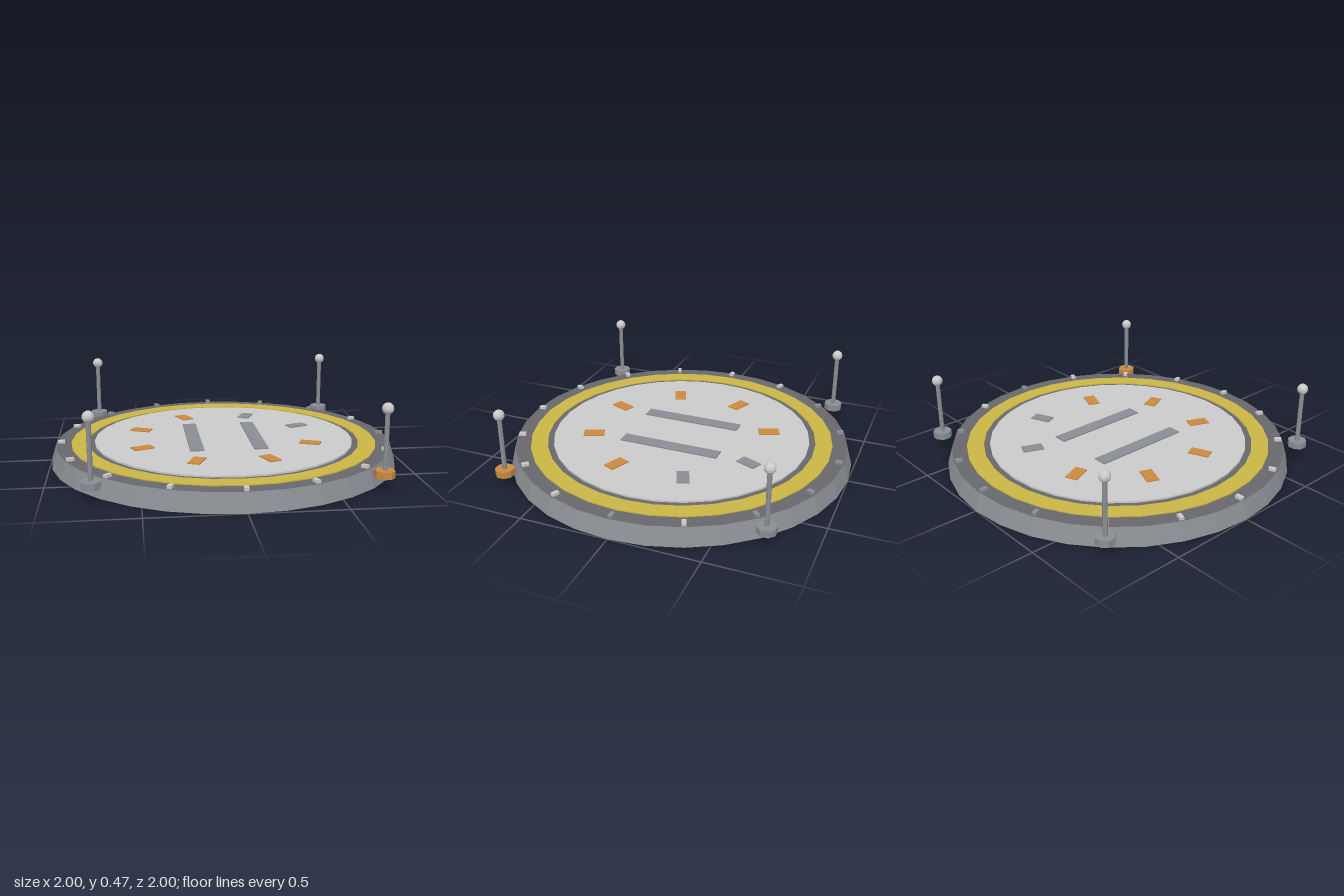
import * as THREE from 'three';

const SEG = 32;

function mat(name, color, flat = true) {
  const m = new THREE.MeshStandardMaterial({ color });
  m.name = name;
  m.flatShading = flat;
  return m;
}

export function createModel() {
  const steel = mat('steel grey', 0x8a8e93);
  const asphalt = mat('dark grey', 0x67676c);
  const concrete = mat('pale grey', 0xcacaca);
  const yellow = mat('yellow', 0xc9b545);
  const orange = mat('orange', 0xca8a40);

  const model = new THREE.Group();
  model.name = 'landingPad';

  const add = (parent, name, geometry, material, x = 0, y = 0, z = 0) => {
    const mesh = new THREE.Mesh(geometry, material);
    mesh.name = name;
    mesh.position.set(x, y, z);
    parent.add(mesh);
    return mesh;
  };

  // Tapered slab: steel side, dark top and bottom
  add(model, 'slab', new THREE.CylinderGeometry(0.97, 1, 0.1, SEG), [steel, asphalt, asphalt], 0, 0.05, 0);

  // Raised yellow ring with a faceted edge
  const ring = new THREE.Shape();
  const hole = new THREE.Path();
  for (let i = 0; i < SEG; i++) {
    const a = (i / SEG) * Math.PI * 2;
    const c = Math.cos(a), s = Math.sin(a);
    if (i) {
      ring.lineTo(c * 0.885, s * 0.885);
      hole.lineTo(c * 0.787, s * 0.787);
    } else {
      ring.moveTo(0.885, 0);
      hole.moveTo(0.787, 0);
    }
  }
  ring.closePath();
  hole.closePath();
  ring.holes.push(hole);
  const ringGeo = new THREE.ExtrudeGeometry(ring, { depth: 0.006, bevelEnabled: false });
  ringGeo.rotateX(-Math.PI / 2);
  add(model, 'yellowRing', ringGeo, yellow, 0, 0.1, 0);

  // Central deck
  add(model, 'deck', new THREE.CylinderGeometry(0.752, 0.752, 0.01, SEG), concrete, 0, 0.105, 0);

  // Pair of parallel touchdown bars
  for (const side of [-1, 1]) {
    add(model, 'touchdownBar', new THREE.BoxGeometry(0.08, 0.007, 0.59), steel, side * 0.18, 0.1135, 0);
  }

  // Eight radial dashes; the two at the back left are grey
  const dashGeo = new THREE.BoxGeometry(0.12, 0.006, 0.07);
  for (let i = 0; i < 8; i++) {
    const a = ((i + 0.5) / 8) * Math.PI * 2;
    const x = Math.cos(a) * 0.518, z = Math.sin(a) * 0.518;
    const dash = add(model, 'radialDash', dashGeo, x > 0 && z < 0 ? steel : orange, x, 0.113, z);
    dash.rotation.y = -a;
  }

  // Sixteen edge lamps around the rim
  const lampGeo = new THREE.BoxGeometry(0.04, 0.018, 0.024);
  for (let i = 0; i < 16; i++) {
    const a = (i / 16) * Math.PI * 2;
    const backLamp = (i >= 10 && i <= 14) || i === 0;
    const lamp = add(model, 'edgeLamp', lampGeo, backLamp ? steel : concrete,
      Math.cos(a) * 0.942, 0.108, Math.sin(a) * 0.942);
    lamp.rotation.y = -a;
  }

  // Four corner beacons: octagonal foot, stub, pole and globe
  const footGeo = new THREE.CylinderGeometry(0.054, 0.054, 0.038, 8);
  footGeo.rotateY(Math.PI / 8);
  const stubGeo = new THREE.CylinderGeometry(0.016, 0.016, 0.016, 8);
  const poleGeo = new THREE.CylinderGeometry(0.013, 0.013, 0.31, 8);
  const globeGeo = new THREE.SphereGeometry(0.031, 12, 8);
  for (const sx of [-1, 1]) {
    for (const sz of [-1, 1]) {
      const beacon = new THREE.Group();
      beacon.name = 'beacon';
      beacon.position.set(sx * 0.746, 0, sz * 0.746);
      const accent = sx > 0 && sz > 0;
      add(beacon, 'beaconFoot', footGeo, accent ? orange : steel, 0, 0.091, 0);
      add(beacon, 'beaconStub', stubGeo, steel, 0, 0.066, 0);
      add(beacon, 'beaconPole', poleGeo, steel, 0, 0.262, 0);
      add(beacon, 'beaconGlobe', globeGeo, concrete, 0, 0.434, 0);
      model.add(beacon);
    }
  }

  return model;
}
